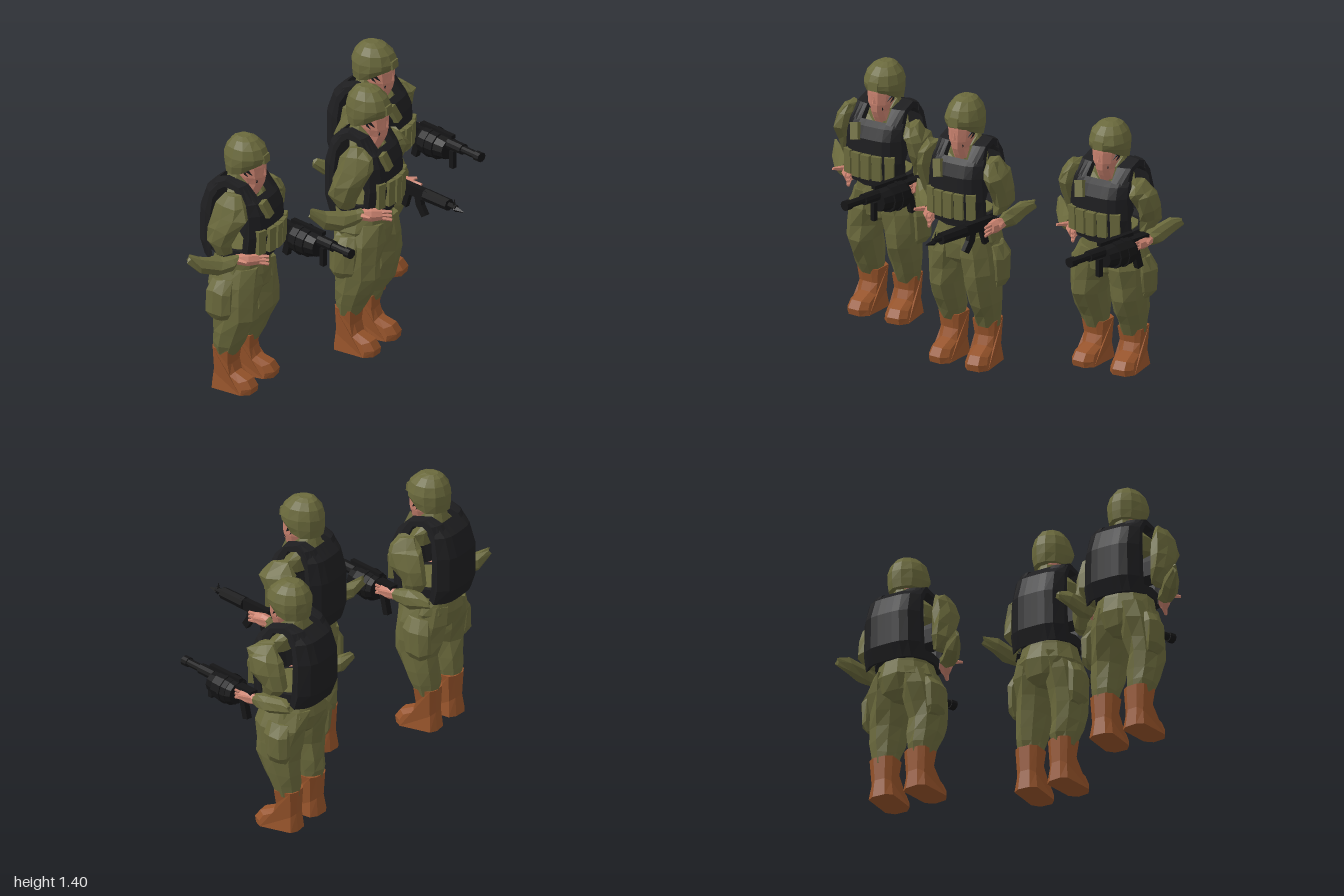
import * as THREE from 'three';

const paint = (name, color) => {
  const m = new THREE.MeshStandardMaterial({ color });
  m.name = name;
  return m;
};
const OLIVE = paint('olive cloth', 0x6a693c);
const BLACK = paint('black vest', 0x1e1e20);
const GUN = paint('gun metal', 0x151516);
const SKIN = paint('skin', 0xcb8370);
const BOOT = paint('brown leather', 0x96532a);

// small seeded noise for crumpled cloth
let seed = 7;
const noise = () => ((seed = (seed * 16807) % 2147483647) / 2147483647) * 2 - 1;

// adds a faceted mesh
function add(group, geo, mat, name, pos = [0, 0, 0], rot = [0, 0, 0]) {
  const g = geo.index ? geo.toNonIndexed() : geo;
  g.computeVertexNormals();
  const mesh = new THREE.Mesh(g, mat);
  mesh.name = name;
  mesh.position.set(...pos);
  mesh.rotation.set(...rot);
  group.add(mesh);
  return mesh;
}
const box = (g, size, mat, name, pos, rot) => add(g, new THREE.BoxGeometry(...size), mat, name, pos, rot);
// cylinder lying along x from x0 to x1
const rod = (g, r0, r1, x0, x1, mat, name, y = 0, sides = 10) =>
  add(g, new THREE.CylinderGeometry(r1, r0, x1 - x0, sides), mat, name, [(x0 + x1) / 2, y, 0], [0, 0, -Math.PI / 2]);

// skin over elliptical sections [x, y, z, ru, rv]
function loft(sections, n, crumple = 0) {
  const first = new THREE.Vector3(...sections[0]), last = new THREE.Vector3(...sections.at(-1));
  const dir = last.sub(first).normalize();
  const u = new THREE.Vector3(1, 0, 0);
  if (Math.abs(dir.y) > 0.7) dir.set(0, Math.sign(dir.y), 0);
  else u.set(0, 1, 0).cross(dir).normalize();
  const v = dir.clone().cross(u);
  const pos = [], index = [];
  for (const [x, y, z, ru, rv] of sections) {
    for (let j = 0; j < n; j++) {
      const a = ((j + 0.5) / n) * Math.PI * 2, k = 1 + crumple * noise();
      const p = new THREE.Vector3(x, y, z).addScaledVector(u, ru * k * Math.cos(a)).addScaledVector(v, rv * k * Math.sin(a));
      p.addScaledVector(dir, crumple * 0.08 * noise());
      pos.push(p.x, p.y, p.z);
    }
  }
  const m = sections.length;
  for (let i = 0; i < m - 1; i++) {
    for (let j = 0; j < n; j++) {
      const a = i * n + j, b = i * n + ((j + 1) % n);
      index.push(a, b, b + n, a, b + n, a + n);
    }
  }
  for (let j = 1; j < n - 1; j++) {
    const e = (m - 1) * n;
    index.push(0, j + 1, j, e, e + j, e + j + 1);
  }
  const g = new THREE.BufferGeometry();
  g.setAttribute('position', new THREE.Float32BufferAttribute(pos, 3));
  g.setIndex(index);
  return g;
}

// moves every vertex by a rule
function bend(geo, rule) {
  const p = geo.attributes.position;
  for (let i = 0; i < p.count; i++) p.setXYZ(i, ...rule(p.getX(i), p.getY(i), p.getZ(i)));
  return geo;
}

// side profile given in x, y and extruded across z0..z1
function slab(points, z0, z1, steps = 8) {
  const shape = new THREE.Shape(points.map((p) => new THREE.Vector2(...p)));
  return new THREE.ExtrudeGeometry(shape, { depth: z1 - z0, steps, bevelEnabled: false }).translate(0, 0, z0);
}

function makeHead() {
  const g = new THREE.Group();
  g.name = 'head';
  add(g, loft([[0.015, 1.06, 0, 0.055, 0.05], [0.04, 1.115, 0, 0.062, 0.045], [0.055, 1.15, 0, 0.064, 0.045],
    [0.052, 1.19, 0, 0.074, 0.06], [0.046, 1.25, 0, 0.081, 0.068], [0.042, 1.31, 0, 0.082, 0.07]], 10), SKIN, 'face');
  add(g, new THREE.ConeGeometry(0.012, 0.045, 4), SKIN, 'nose', [0.122, 1.222, 0]);
  const dome = loft([[0.01, 1.205, 0, 0.1, 0.09], [0.018, 1.25, 0, 0.113, 0.1], [0.02, 1.3, 0, 0.117, 0.1],
    [0.018, 1.35, 0, 0.1, 0.086], [0.012, 1.386, 0, 0.068, 0.058], [0.005, 1.4, 0, 0.035, 0.03]], 12, 0.02);
  // front rim lifted above the eyes
  const lift = (x) => THREE.MathUtils.clamp((x - 0.01) / 0.08, 0, 1);
  add(g, bend(dome, (x, y, z) => [y < 1.23 ? x * (1 + 0.1 * lift(x)) : x, y + lift(x) * (y < 1.23 ? 0.05 : y < 1.28 ? 0.025 : 0), z]), OLIVE, 'helmet');
  box(g, [0.012, 0.045, 0.055], OLIVE, 'helmetMount', [0.132, 1.295, 0], [0, 0, 0.1]);
  // dark strap running from the ear to the chin
  const strap = [[0.03, 1.245], [0.045, 1.21], [0.1, 1.16], [0.104, 1.175], [0.068, 1.235]];
  for (const s of [-1, 1]) {
    const strip = bend(slab(strap, -0.004, 0.004, 1), (x, y, z) => [x, y, z + s * (0.064 + (y - 1.21) * 0.2 - Math.max(0, x - 0.06) * 0.55)]);
    add(g, strip, BLACK, 'chinStrap');
  }
  return g;
}

function makeVest(depth) {
  const g = new THREE.Group();
  g.name = 'vest';
  g.scale.x = depth;
  const round = (x, y, z) => [x * (1 - 0.34 * (z / 0.16) ** 4), y, z * (1 - 0.1 * Math.max(0, y - 0.95) / 0.2)];
  const back = [[-0.17, 0.74], [-0.13, 0.76], [-0.15, 0.84], [-0.155, 0.98], [-0.14, 1.08], [-0.1, 1.125],
    [-0.1, 1.165], [-0.165, 1.11], [-0.2, 1.0], [-0.2, 0.82]];
  const front = [[0.12, 0.77], [0.165, 0.77], [0.19, 0.9], [0.182, 1.02], [0.155, 1.08], [0.125, 1.105],
    [0.105, 1.08], [0.1, 1.02], [0.1, 0.94], [0.14, 0.9]];
  const strap = [[-0.15, 1.11], [-0.1, 1.125], [-0.04, 1.155], [0.04, 1.145], [0.1, 1.06], [0.15, 1.08],
    [0.07, 1.165], [-0.04, 1.188], [-0.11, 1.165]];
  add(g, bend(slab(back.reverse(), -0.162, 0.162), round), BLACK, 'backPlate');
  add(g, bend(slab(front, -0.16, 0.16), round), BLACK, 'frontPlate');
  for (const s of [-1, 1]) add(g, bend(slab(strap, s * 0.115 - 0.038, s * 0.115 + 0.038, 3), round), BLACK, 'shoulderStrap');
  add(g, loft([[0, 0.755, 0, 0.165, 0.15], [0, 0.805, 0, 0.17, 0.153]], 14), BLACK, 'belt');
  // row of ammunition pouches
  for (let i = -2; i <= 2; i++) {
    const x = 0.19 - 0.008 * i * i, turn = [0, -i * 0.18, 0];
    box(g, [0.045, 0.12, 0.046], OLIVE, 'ammoPouch', [x, 0.87, i * 0.056], turn);
    box(g, [0.053, 0.035, 0.05], OLIVE, 'pouchFlap', [x, 0.925, i * 0.056], turn);
  }
  box(g, [0.03, 0.09, 0.045], OLIVE, 'chestPouch', [0.175, 1.05, 0.075], [0.25, 0, 0.35]);
  return g;
}

function makeLeg(s) {
  const g = new THREE.Group();
  g.name = s > 0 ? 'rightLeg' : 'leftLeg';
  add(g, loft([[-0.035, 0.195, s * 0.102, 0.062, 0.06], [-0.025, 0.26, s * 0.104, 0.082, 0.072], [-0.005, 0.33, s * 0.108, 0.1, 0.08],
    [0.018, 0.42, s * 0.108, 0.118, 0.084], [0.012, 0.5, s * 0.1, 0.125, 0.092], [0.005, 0.6, s * 0.088, 0.142, 0.1],
    [0, 0.7, s * 0.072, 0.135, 0.08]], 9, 0.08), OLIVE, 'trouserLeg');
  add(g, loft([[-0.03, 0.42, s * 0.175, 0.05, 0.02], [-0.03, 0.46, s * 0.185, 0.07, 0.034], [-0.025, 0.58, s * 0.185, 0.075, 0.038],
    [-0.02, 0.64, s * 0.16, 0.06, 0.025]], 8, 0.12), OLIVE, 'thighPocket');
  // boot profile, narrowed towards the ankle and the toe
  const boot = slab([[-0.105, 0], [0.125, 0], [0.132, 0.035], [0.105, 0.075], [0.03, 0.105], [0.012, 0.15], [0.022, 0.23],
    [-0.1, 0.23], [-0.095, 0.1]], -0.066, 0.066, 4);
  bend(boot, (x, y, z) => {
    const edge = Math.abs(z) > 0.05;
    const w = 1 - 0.18 * Math.min(1, y / 0.1) + (y > 0.2 ? 0.14 : 0);
    return [edge ? -0.02 + (x + 0.02) * 0.74 : x, edge && y > 0.02 && y < 0.11 ? y * 0.85 : y, z * w];
  });
  add(g, boot, BOOT, 'boot', [0, 0, s * 0.102], [0, s * -0.08, 0]);
  return g;
}

function makeArm(s) {
  const g = new THREE.Group();
  g.name = s > 0 ? 'rightArm' : 'leftArm';
  const top = s > 0 ? 1.14 : 1.1;
  add(g, loft([[-0.005, 0.81, s * 0.19, 0.05, 0.028], [-0.015, 0.87, s * 0.205, 0.07, 0.046], [0.01, 0.95, s * 0.21, 0.09, 0.05],
    [0.04, 1.03, s * 0.2, 0.1, 0.05], [0.045, top - 0.045, s * 0.188, 0.088, 0.042], [0.045, top, s * 0.175, 0.05, 0.026]], 8, 0.16), OLIVE, 'upperSleeve');
  const forearm = s > 0
    ? [[-0.11, 0.82, 0.355, 0.01, 0.025], [-0.07, 0.775, 0.31, 0.035, 0.046], [0, 0.755, 0.25, 0.042, 0.05], [0.05, 0.77, 0.2, 0.04, 0.042], [0.07, 0.78, 0.18, 0.033, 0.033]]
    : [[-0.17, 0.82, -0.295, 0.008, 0.025], [-0.11, 0.81, -0.265, 0.026, 0.045], [-0.02, 0.79, -0.245, 0.038, 0.05], [0.03, 0.79, -0.243, 0.036, 0.042], [0.06, 0.79, -0.242, 0.03, 0.033]];
  add(g, loft(forearm, 7, 0.16), OLIVE, 'forearmSleeve');
  const [x, y, z] = forearm[4], reach = s > 0 ? -0.06 : 0.012;
  add(g, loft([[x - 0.01, y, z, 0.027, 0.026], [x + 0.045, y, z + reach * 0.5, 0.034, 0.036], [x + 0.09, y, z + reach, 0.024, 0.03]], 7), SKIN, 'hand');
  // splayed fingers and thumb
  for (let i = -1; i <= 1; i++) {
    add(g, loft([[x + 0.07, y + i * 0.015, z + reach * 0.85, 0.016, 0.013], [x + 0.135, y + i * 0.022 - 0.006, z + reach * 1.35, 0.008, 0.008]], 5), SKIN, 'finger');
  }
  add(g, loft([[x + 0.015, y + 0.005, z + s * 0.01, 0.016, 0.016], [x + 0.08, y + 0.018, z + s * 0.04, 0.007, 0.008]], 5), SKIN, 'thumb');
  return g;
}

function makeLauncher() {
  const g = new THREE.Group();
  g.name = 'drumLauncher';
  box(g, [0.13, 0.055, 0.045], GUN, 'receiver', [0.03, 0.02, 0]);
  box(g, [0.035, 0.13, 0.03], GUN, 'pistolGrip', [0.03, -0.07, 0], [0, 0, -0.25]);
  rod(g, 0.062, 0.075, 0.075, 0.1, GUN, 'drumRear', -0.008, 12);
  rod(g, 0.078, 0.078, 0.1, 0.2, GUN, 'drum', -0.008, 12);
  rod(g, 0.084, 0.084, 0.135, 0.15, GUN, 'drumBand', -0.008, 12);
  rod(g, 0.068, 0.058, 0.2, 0.255, GUN, 'drumFront', -0.008, 12);
  box(g, [0.22, 0.02, 0.025], GUN, 'topRail', [0.17, 0.072, 0]);
  rod(g, 0.03, 0.03, 0.25, 0.35, GUN, 'barrelSleeve', 0.025);
  rod(g, 0.021, 0.021, 0.35, 0.46, GUN, 'barrel', 0.025);
  rod(g, 0.027, 0.027, 0.44, 0.475, GUN, 'muzzle', 0.025);
  box(g, [0.025, 0.1, 0.025], GUN, 'foreGrip', [0.275, -0.06, 0]);
  return g;
}

function makeRifle() {
  const g = new THREE.Group();
  g.name = 'rifle';
  box(g, [0.2, 0.055, 0.034], GUN, 'receiver', [0.08, 0, 0]);
  box(g, [0.1, 0.04, 0.025], GUN, 'stock', [-0.06, -0.015, 0], [0, 0, 0.15]);
  box(g, [0.03, 0.09, 0.025], GUN, 'pistolGrip', [0.03, -0.06, 0], [0, 0, -0.3]);
  add(g, slab([[0.09, -0.02], [0.1, -0.07], [0.14, -0.125], [0.17, -0.105], [0.14, -0.06], [0.13, -0.02]], -0.013, 0.013, 1), GUN, 'magazine');
  rod(g, 0.033, 0.031, 0.16, 0.32, GUN, 'handguard', 0.001, 8);
  rod(g, 0.014, 0.014, 0.32, 0.37, GUN, 'barrel', 0.002, 8);
  add(g, new THREE.ConeGeometry(0.012, 0.045, 4), GUN, 'frontSight', [0.355, 0.025, 0]);
  rod(g, 0.018, 0.002, 0.36, 0.42, GUN, 'bayonet', -0.005, 4);
  return g;
}

function makeSoldier(name, weapon, depth) {
  const g = new THREE.Group();
  g.name = name;
  g.add(makeHead(), makeVest(depth));
  // collar, lower at the throat
  const collar = loft([[0.025, 1.03, 0, 0.065, 0.13], [0.02, 1.1, 0, 0.075, 0.14], [0.0, 1.145, 0, 0.08, 0.09], [0.0, 1.2, 0, 0.068, 0.062]], 10, 0.05);
  add(g, bend(collar, (x, y, z) => [x, y > 1.08 && x > 0 ? y - x * (y > 1.12 ? 0.95 : 0.4) : y, z]), OLIVE, 'collar');
  add(g, loft([[0, 0.54, 0, 0.09, 0.07], [0, 0.58, 0, 0.135, 0.14], [-0.008, 0.66, 0, 0.15, 0.168], [0, 0.74, 0, 0.14, 0.145],
    [0, 0.81, 0, 0.13, 0.13]], 12, 0.05), OLIVE, 'hips');
  for (const s of [1, -1]) g.add(makeLeg(s), makeArm(s));
  weapon.rotation.y = -0.28;
  g.add(weapon);
  return g;
}

export function createModel() {
  const model = new THREE.Group();
  model.name = 'soldiers';
  const place = (soldier, pos, scale) => {
    soldier.position.set(...pos);
    soldier.scale.set(...scale);
    model.add(soldier);
  };
  const rifle = makeRifle();
  rifle.position.set(0.11, 0.8, -0.19);
  place(makeSoldier('leader', rifle, 0.9), [0, 0, -0.035], [1, 1, 0.97]);
  for (const [name, z, scale] of [['rightGunner', 0.62, [0.98, 0.953, 1]], ['leftGunner', -0.67, [1, 0.922, 1.03]]]) {
    const launcher = makeLauncher();
    launcher.position.set(0.11, 0.785, -0.225);
    place(makeSoldier(name, launcher, 1), [-0.32, 0, z], scale);
  }
  return model;
}
